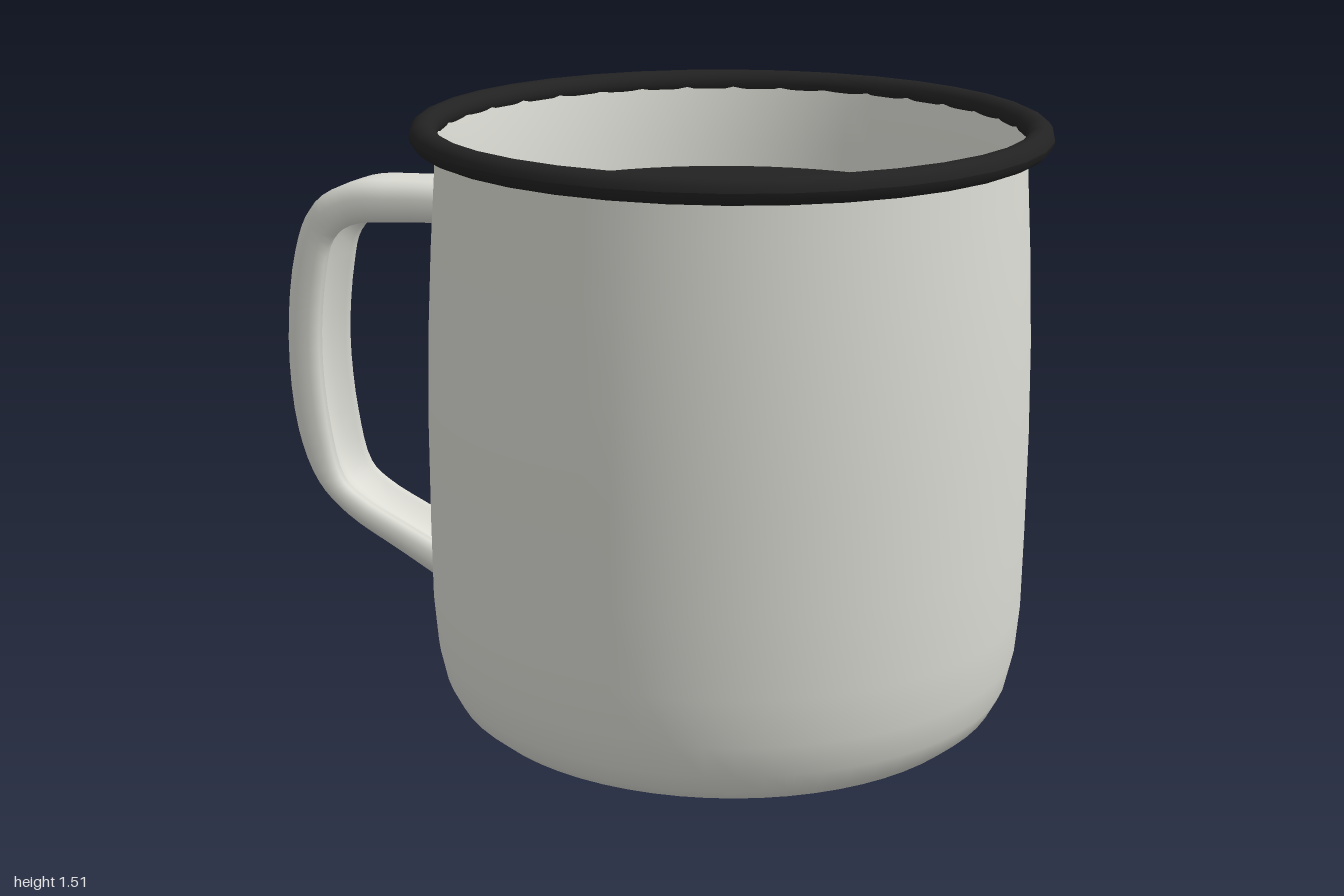
import * as THREE from 'three';

const CX = 0.222; // mug axis, offset to make room for the handle

function lathe(points, segments, material, name) {
  const geo = new THREE.LatheGeometry(points.map(([r, y]) => new THREE.Vector2(r, y)), segments);
  const mesh = new THREE.Mesh(geo, material);
  mesh.position.x = CX;
  mesh.name = name;
  return mesh;
}

// Handle strap: a grooved section lofted between an outer and an inner curve
function handleGeometry() {
  const curve = (pts) => new THREE.CatmullRomCurve3(pts.map(([x, y]) => new THREE.Vector3(x, y, 0)));
  const outer = curve([[-0.49, 1.3], [-0.65, 1.295], [-0.8, 1.28], [-0.91, 1.22], [-0.965, 1.1], [-0.998, 0.85],
    [-0.978, 0.6], [-0.92, 0.46], [-0.83, 0.375], [-0.67, 0.29], [-0.5, 0.2]]);
  const inner = curve([[-0.49, 1.2], [-0.65, 1.19], [-0.79, 1.17], [-0.85, 1.12], [-0.875, 1.03], [-0.895, 0.83],
    [-0.878, 0.62], [-0.842, 0.48], [-0.79, 0.435], [-0.65, 0.37], [-0.5, 0.305]]);

  // [z, depth], depth 0 = outer curve, 1 = inner curve
  const half = [[0.055, 0.01], [0.085, 0.1], [0.102, 0.38], [0.1, 0.75], [0.085, 0.98], [0.062, 0.95], [0.045, 0.65]];
  const section = [[0, 0], ...half, [0, 0.58], ...half.slice().reverse().map(([z, d]) => [-z, d])];

  const steps = 40, n = section.length, pos = [], index = [];
  for (let i = 0; i <= steps; i++) {
    const o = outer.getPoint(i / steps), q = inner.getPoint(i / steps);
    for (const [z, d] of section) {
      const p = o.clone().lerp(q, d);
      pos.push(p.x, p.y, z);
    }
  }
  for (let i = 0; i < steps; i++) {
    for (let j = 0; j < n; j++) {
      const k = (j + 1) % n;
      const a = i * n + j, b = a + n, c = i * n + k, d = c + n;
      index.push(a, b, c, b, d, c);
    }
  }
  const geo = new THREE.BufferGeometry();
  geo.setAttribute('position', new THREE.Float32BufferAttribute(pos, 3));
  geo.setIndex(index);
  geo.computeVertexNormals();
  return geo;
}

export function createModel() {
  const enamel = new THREE.MeshStandardMaterial({ color: 0xdcdcd5 });
  enamel.name = 'offWhiteEnamel';
  const black = new THREE.MeshStandardMaterial({ color: 0x222222 });
  black.name = 'black';

  const mug = new THREE.Group();
  mug.name = 'mug';

  // Body: base, rounded foot, gently tapering wall
  mug.add(lathe([[0, 0], [0.58, 0], [0.61, 0.001], [0.65, 0.014], [0.69, 0.048], [0.717, 0.1], [0.735, 0.18],
    [0.745, 0.3], [0.747, 0.5], [0.747, 0.75], [0.742, 0.98], [0.731, 1.2], [0.72, 1.36], [0.713, 1.47]],
  64, enamel, 'body'));

  // Inside wall, down to just below the drink
  mug.add(lathe([[0.716, 1.485], [0.705, 1.42], [0.694, 1.32], [0.688, 1.22]], 64, enamel, 'innerWall'));

  // Rolled rim with a flattened round section
  const ring = [];
  for (let i = 0; i <= 14; i++) {
    const a = (i / 14) * Math.PI * 2;
    ring.push([0.744 + 0.034 * Math.cos(a), 1.477 + 0.032 * Math.sin(a)]);
  }
  mug.add(lathe(ring, 36, black, 'rim'));

  // Drink surface
  const drink = new THREE.Mesh(new THREE.CircleGeometry(0.692, 64), black);
  drink.rotation.x = -Math.PI / 2;
  drink.position.set(CX, 1.255, 0);
  drink.name = 'drink';
  mug.add(drink);

  const handle = new THREE.Mesh(handleGeometry(), enamel);
  handle.name = 'handle';
  mug.add(handle);

  return mug;
}
